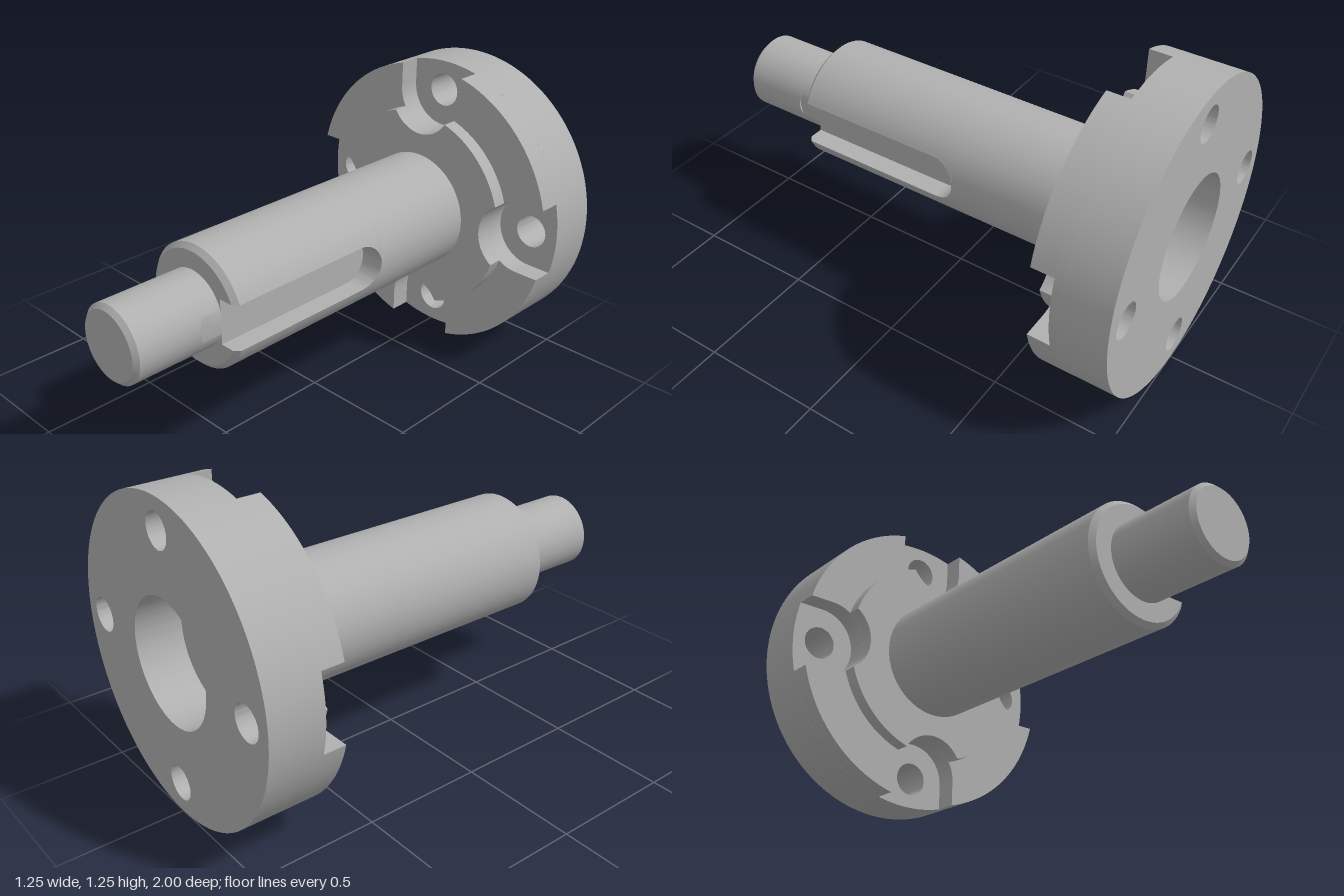
import * as THREE from 'three';
import { toCreasedNormals } from 'three/addons/utils/BufferGeometryUtils.js';

const FLANGE_R = 0.625, BOSS_R = 0.4375, SHAFT_R = 0.25, TIP_R = 0.156;
const BOLT_R = 0.5, HOLE_R = 0.07, POCKET_R = 0.157;
const KEY_W = 0.094, KEY_FLOOR = 0.149, KEY_START = -0.031, KEY_END = 0.625, SHOULDER = 0.62;

const steel = new THREE.MeshStandardMaterial({ color: 0xb0b0b0 });
steel.name = 'steel';

function addMesh(group, name, geometry) {
  const mesh = new THREE.Mesh(toCreasedNormals(geometry, 0.5), steel);
  mesh.name = name;
  group.add(mesh);
}

// Slab of a shape between two depths
function slab(shape, z0, z1) {
  return new THREE.ExtrudeGeometry(shape, { depth: z1 - z0, bevelEnabled: false, curveSegments: 96 })
    .translate(0, 0, z0);
}

function hole(shape, x, y, r) {
  shape.holes.push(new THREE.Path().absarc(x, y, r, 0, Math.PI * 2, true));
}

// Round disc with the four bolt holes
function drilledDisc() {
  const shape = new THREE.Shape().absarc(0, 0, FLANGE_R, 0, Math.PI * 2);
  for (let k = 0; k < 4; k++) {
    const t = k * Math.PI / 2;
    hole(shape, BOLT_R * Math.cos(t), BOLT_R * Math.sin(t), HOLE_R);
  }
  return shape;
}

// Disc of radius R with four U-shaped pockets open to the rim
function pocketedDisc(R) {
  const pts = [], origin = new THREE.Vector2();
  let edge = Math.asin(POCKET_R / R), s = Math.PI / 2;
  if (R < BOLT_R) {
    const x = (R * R + BOLT_R * BOLT_R - POCKET_R * POCKET_R) / (2 * BOLT_R);
    const y = Math.sqrt(R * R - x * x);
    edge = Math.atan2(y, x);
    s = Math.atan2(y, x - BOLT_R);
  }
  for (let k = 0; k < 4; k++) {
    const put = (x, y) => pts.push(new THREE.Vector2(x, y).rotateAround(origin, k * Math.PI / 2));
    for (let i = 0; i <= 24; i++) {
      const t = -s - (2 * Math.PI - 2 * s) * i / 24;
      put(BOLT_R + POCKET_R * Math.cos(t), POCKET_R * Math.sin(t));
    }
    // outer arc; its ends coincide with the pocket ends on the small disc
    const skip = R < BOLT_R ? 1 : 0;
    for (let i = skip; i <= 20 - skip; i++) {
      const t = edge + (Math.PI / 2 - 2 * edge) * i / 20;
      put(R * Math.cos(t), R * Math.sin(t));
    }
  }
  return new THREE.Shape(pts);
}

// Circular section with a slot of half-width w cut on the +x side
function keyedSection(R, w) {
  const a = Math.asin(w / R), pts = [];
  for (let i = 0; i <= 80; i++) {
    const t = a + (2 * Math.PI - 2 * a) * i / 80;
    pts.push(new THREE.Vector2(R * Math.cos(t), R * Math.sin(t)));
  }
  pts.push(new THREE.Vector2(KEY_FLOOR, -w), new THREE.Vector2(KEY_FLOOR, w));
  return pts;
}

// Skin over keyed sections, each given as [z, R, w]
function keyedLoft(stations) {
  const pos = [], index = [];
  let n = 0;
  stations.forEach(([z, R, w], i) => {
    const section = keyedSection(R, w);
    n = section.length;
    section.forEach((p, j) => {
      pos.push(p.x, p.y, z);
      if (i === 0) return;
      const k = (j + 1) % n, lo = (i - 1) * n, hi = i * n;
      index.push(lo + j, lo + k, hi + k, lo + j, hi + k, hi + j);
    });
  });
  const g = new THREE.BufferGeometry();
  g.setAttribute('position', new THREE.Float32BufferAttribute(pos, 3));
  g.setIndex(index);
  return g;
}

// Turned profile of [radius, z] points about the z axis
function turned(points) {
  return new THREE.LatheGeometry(points.map(p => new THREE.Vector2(...p)), 80).rotateX(Math.PI / 2);
}

export function createModel() {
  const model = new THREE.Group();
  model.name = 'flangedShaft';

  // Flange: bored back, bore floor, pocketed front and raised boss
  const back = drilledDisc();
  hole(back, 0, 0, 0.25);
  addMesh(model, 'flangeBack', slab(back, -1, -0.81));
  addMesh(model, 'flangeWeb', slab(drilledDisc(), -0.81, -0.78));
  addMesh(model, 'flangePocketedFront', slab(pocketedDisc(FLANGE_R), -0.78, -0.6875));
  addMesh(model, 'flangeBoss', slab(pocketedDisc(BOSS_R), -0.6875, -0.625));

  // Plain part of the main shaft
  const slotTip = KEY_START - KEY_W;
  addMesh(model, 'mainShaft', turned([[SHAFT_R, -0.63], [SHAFT_R, slotTip]]));

  // Main shaft with the round-ended keyway and end chamfer
  const main = [];
  for (let i = 0; i <= 14; i++) {
    const t = i / 14 * Math.PI / 2;
    main.push([KEY_START - KEY_W * Math.cos(t), SHAFT_R, KEY_W * Math.sin(t)]);
  }
  main.push([SHOULDER - 0.02, SHAFT_R, KEY_W], [SHOULDER, SHAFT_R - 0.02, KEY_W]);
  addMesh(model, 'keyedShaft', keyedLoft(main));
  const shoulder = new THREE.ShapeGeometry(new THREE.Shape(keyedSection(SHAFT_R - 0.02, KEY_W)));
  addMesh(model, 'shaftShoulder', shoulder.translate(0, 0, SHOULDER));

  // Journal with the shallow end of the keyway
  const chord = Math.sqrt(TIP_R ** 2 - KEY_FLOOR ** 2), t0 = Math.asin(chord / KEY_W);
  const journal = [[SHOULDER, TIP_R, chord]];
  for (let i = 0; i <= 8; i++) {
    const t = t0 * (1 - i / 8);
    journal.push([KEY_END + KEY_W * Math.cos(t), TIP_R, KEY_W * Math.sin(t)]);
  }
  addMesh(model, 'keyedJournal', keyedLoft(journal));
  addMesh(model, 'journalTip', turned([
    [TIP_R, KEY_END + KEY_W], [TIP_R, 0.982], [TIP_R - 0.018, 1], [0, 1],
  ]));

  model.children.forEach(part => { part.position.y = FLANGE_R; });
  return model;
}
